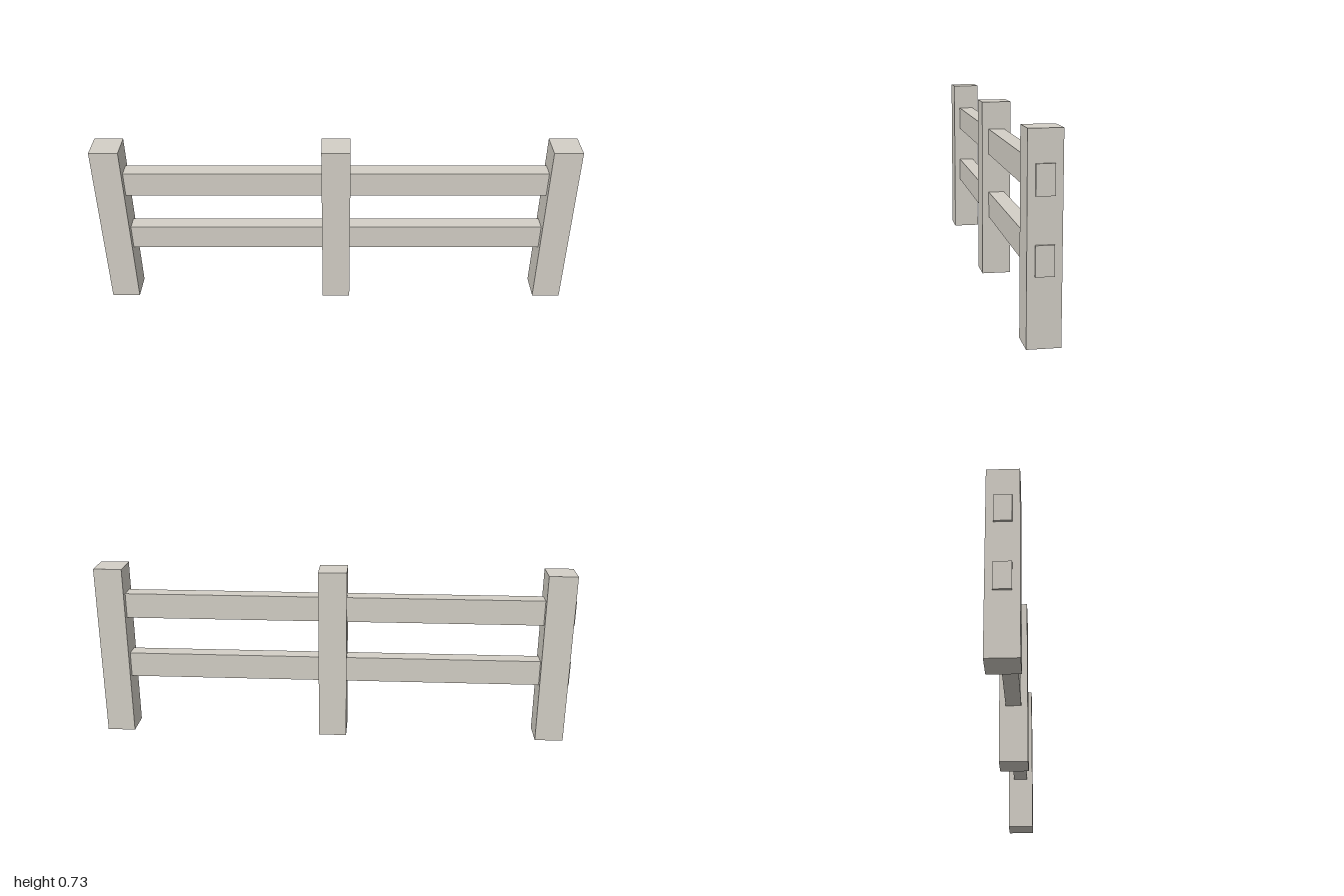
import * as THREE from 'three';

export function createModel() {
  const group = new THREE.Group();
  group.name = 'fence';
  const wood = new THREE.MeshStandardMaterial({ color: 0xd4d0c7 });
  wood.name = 'weathered wood';

  const addBeam = (name, size, position) => {
    const mesh = new THREE.Mesh(new THREE.BoxGeometry(...size), wood);
    mesh.name = name;
    mesh.position.set(...position);
    group.add(mesh);
  };

  // Three square posts standing on the ground
  const postHeight = 0.733;
  const posts = { rightPost: -0.933, middlePost: 0, leftPost: 0.933 };
  for (const [name, x] of Object.entries(posts)) {
    addBeam(name, [0.118, postHeight, 0.119], [x, postHeight / 2, 0]);
  }

  // Two rails running through the posts, ends just proud of the outer faces
  const rails = { lowerRail: 0.3, upperRail: 0.567 };
  for (const [name, y] of Object.entries(rails)) {
    addBeam(name, [2, 0.106, 0.065], [0, y, 0]);
  }

  return group;
}
